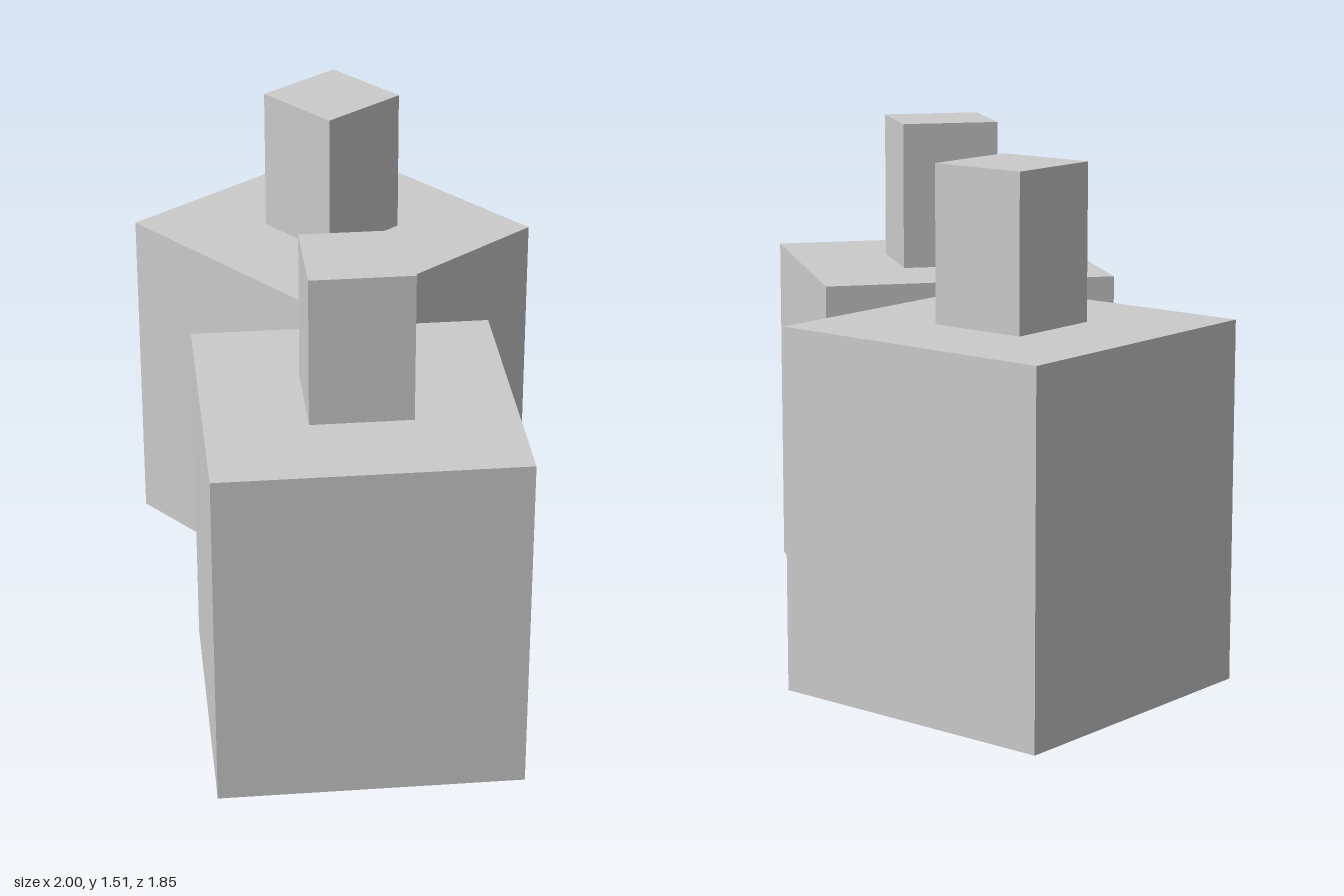
import * as THREE from 'three';

const BODY_SIZE = 0.905, BODY_HEIGHT = 1.06;
const NECK_SIZE = 0.303, NECK_HEIGHT = 0.455;

function box(name, size, height, bottom, material) {
  const mesh = new THREE.Mesh(new THREE.BoxGeometry(size, height, size), material);
  mesh.name = name;
  mesh.position.y = bottom + height / 2;
  return mesh;
}

// One square block with a smaller post centred on its top
function createBlock(name, x, z, turn, material) {
  const block = new THREE.Group();
  block.name = name;
  block.add(
    box('body', BODY_SIZE, BODY_HEIGHT, 0, material),
    box('post', NECK_SIZE, NECK_HEIGHT, BODY_HEIGHT, material)
  );
  block.position.set(x, 0, z);
  block.rotation.y = THREE.MathUtils.degToRad(turn);
  return block;
}

export function createModel() {
  const material = new THREE.MeshStandardMaterial({ color: 0xcccccc, flatShading: true });
  const model = new THREE.Group();
  model.name = 'pairOfBlocks';
  model.add(
    createBlock('backBlock', -0.547, -0.472, 0, material),
    createBlock('frontBlock', 0.365, 0.289, -37.5, material)
  );
  return model;
}
